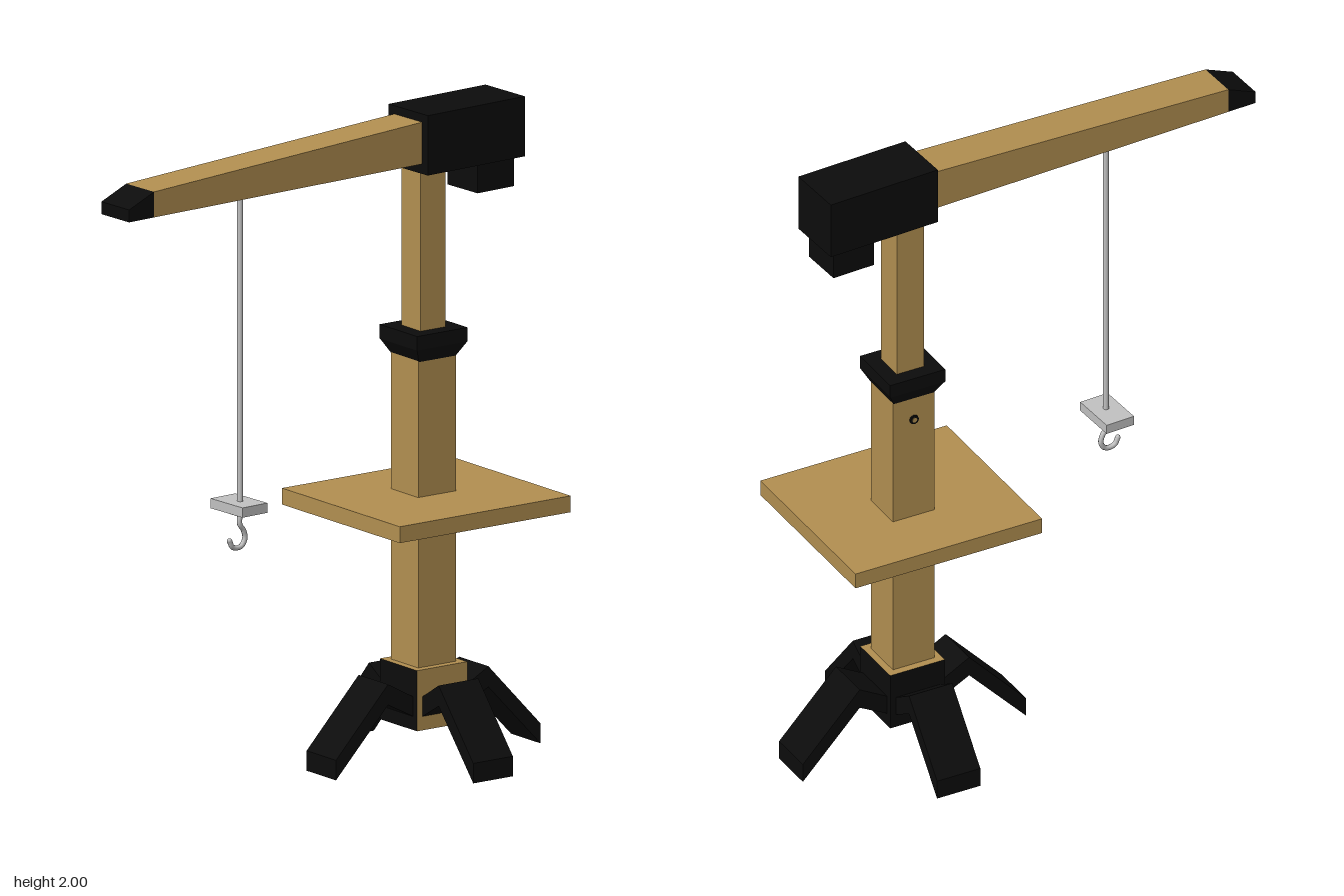
import * as THREE from 'three';

const wood = new THREE.MeshStandardMaterial({ name: 'wood', color: 0xb39051 });
const black = new THREE.MeshStandardMaterial({ name: 'black', color: 0x0c0c0c });
const steel = new THREE.MeshStandardMaterial({ name: 'steel', color: 0xc2c2c2 });

export function createModel() {
  const root = new THREE.Group();
  root.name = 'crane';

  const add = (parent, name, geometry, material, x = 0, y = 0, z = 0) => {
    const mesh = new THREE.Mesh(geometry, material);
    mesh.name = name;
    mesh.position.set(x, y, z);
    parent.add(mesh);
    return mesh;
  };
  // Box given by its bottom and top heights
  const box = (parent, name, material, w, d, y0, y1, x = 0, z = 0) =>
    add(parent, name, new THREE.BoxGeometry(w, y1 - y0, d), material, x, (y0 + y1) / 2, z);
  // Side profile in x,y extruded to a centred width along z
  const slab = (points, width) =>
    new THREE.ExtrudeGeometry(new THREE.Shape(points.map(p => new THREE.Vector2(...p))),
      { depth: width, bevelEnabled: false }).translate(0, 0, -width / 2);

  // Tower
  const tower = new THREE.Group();
  tower.name = 'tower';
  tower.position.x = 0.41;
  root.add(tower);
  box(tower, 'base', [black, black, wood, wood, wood, black], 0.185, 0.185, 0.115, 0.3);
  box(tower, 'lowerPost', wood, 0.14, 0.136, 0.2, 1.25);
  box(tower, 'upperPost', wood, 0.092, 0.096, 1.3, 1.84);
  box(tower, 'platform', wood, 0.63, 0.585, 0.77, 0.82, -0.01, 0.027);

  // Collar: square, flared at the bottom
  const r2 = Math.SQRT2;
  const collar = new THREE.CylinderGeometry(0.093 * r2, 0.068 * r2, 0.045, 4, 1).rotateY(Math.PI / 4).toNonIndexed();
  collar.computeVertexNormals();
  add(tower, 'collarFlare', collar, black, 0, 1.2555);
  box(tower, 'collar', black, 0.186, 0.186, 1.277, 1.32);

  // Bolt on the back of the post
  const disc = (r, h) => new THREE.CylinderGeometry(r, r, h, 8).rotateX(Math.PI / 2);
  add(tower, 'boltRing', disc(0.015, 0.008), black, 0, 1.16, -0.07);
  add(tower, 'boltHead', disc(0.008, 0.012), wood, 0, 1.16, -0.07);

  // Four bent feet; the front and back pair is slightly shorter
  for (let i = 0; i < 4; i++) {
    const [knee, end] = i % 2 ? [0.173, 0.345] : [0.185, 0.377];
    const profile = [[0.08, 0.15], [knee, 0.205], [end, 0.004], [end, 0.065], [knee, 0.268], [0.08, 0.21]];
    add(tower, 'leg', slab(profile, 0.146), black).rotation.y = i * Math.PI / 2;
  }

  // Swivelling top, turned slightly towards the front
  const top = new THREE.Group();
  top.name = 'swivelTop';
  top.position.set(0.51, 0, 0.03);
  top.rotation.y = 0.046;
  root.add(top);
  box(top, 'head', black, 0.371, 0.184, 1.817, 2);
  box(top, 'counterweight', black, 0.14, 0.14, 1.725, 1.83, 0.094, -0.002);
  add(top, 'jib', slab([[-1.21, 1.847], [-0.1, 1.847], [-0.1, 1.979], [-1.21, 1.925]], 0.13), wood);
  add(top, 'jibTip', slab([[-1.305, 1.847], [-1.21, 1.847], [-1.21, 1.925], [-1.305, 1.885]], 0.13), black);

  // Cable, block and hook
  const hoist = new THREE.Group();
  hoist.name = 'hoist';
  hoist.position.set(-0.82, 0, -0.009);
  top.add(hoist);
  add(hoist, 'cable', new THREE.CylinderGeometry(0.009, 0.009, 0.96, 12), steel, 0, 1.375);
  box(hoist, 'hookBlock', steel, 0.095, 0.15, 0.875, 0.905, 0, -0.006);
  box(hoist, 'hookMount', steel, 0.046, 0.046, 0.865, 0.88);
  const path = new THREE.CatmullRomCurve3([
    [0, 0.87], [-0.002, 0.835], [0.012, 0.815], [0.018, 0.79], [0.005, 0.768],
    [-0.014, 0.764], [-0.031, 0.77], [-0.041, 0.79],
  ].map(([x, y]) => new THREE.Vector3(x, y, 0)));
  add(hoist, 'hook', new THREE.TubeGeometry(path, 32, 0.008, 8), steel);
  add(hoist, 'hookPoint', new THREE.SphereGeometry(0.008, 8, 6), steel, -0.041, 0.79);

  return root;
}
